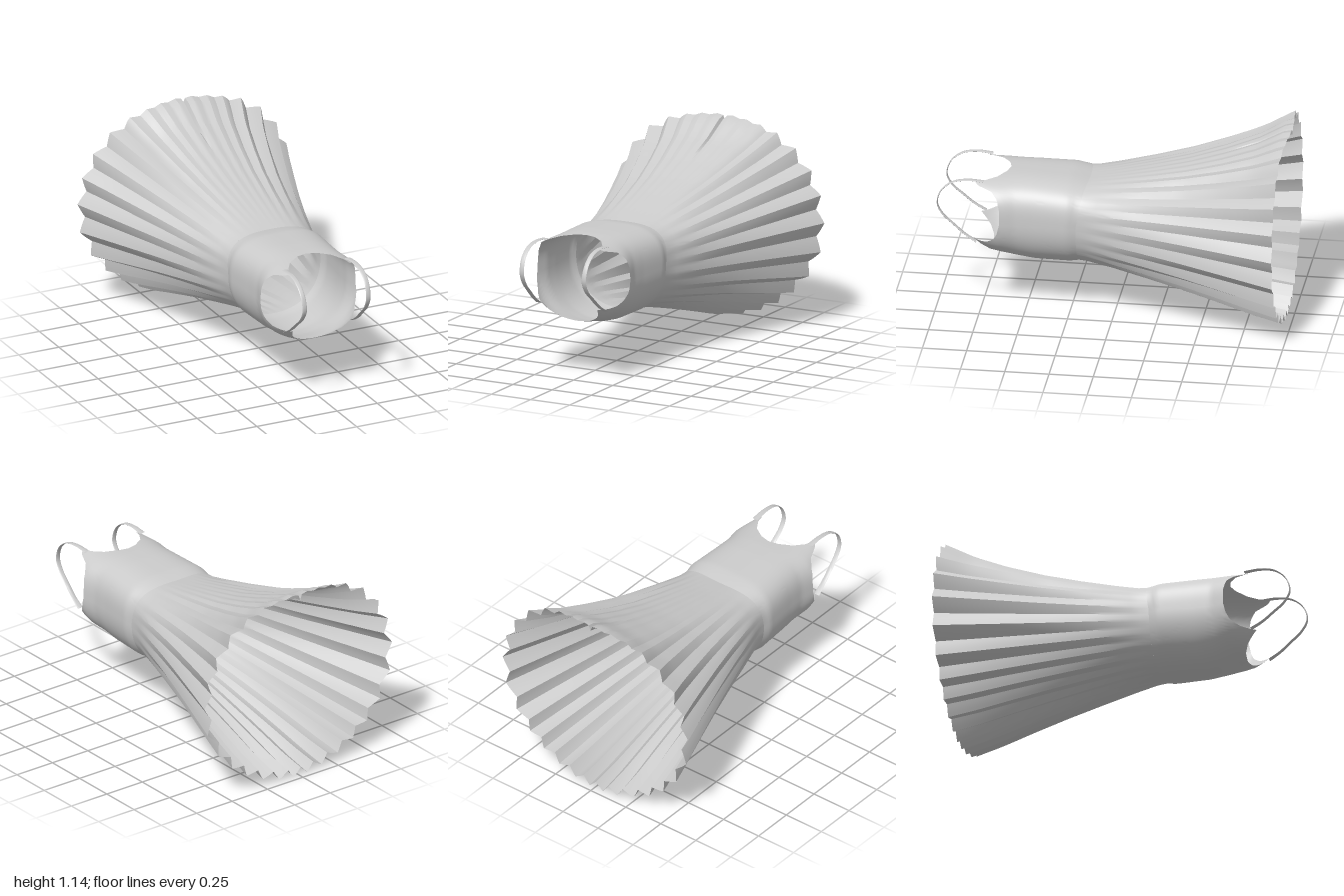
import * as THREE from 'three';
import { toCreasedNormals } from 'three/addons/utils/BufferGeometryUtils.js';

const CENTRE_Y = 0.58;
const PLEATS = 30;

// Piecewise-linear lookup in rows [key, value, value...], keys ascending
function lookup(rows, k) {
  if (k <= rows[0][0]) return rows[0].slice(1);
  for (let i = 1; i < rows.length; i++) {
    const a = rows[i - 1], b = rows[i];
    if (k <= b[0]) {
      const t = (k - a[0]) / (b[0] - a[0]);
      return a.slice(1).map((v, j) => v + (b[j + 1] - v) * t);
    }
  }
  return rows[rows.length - 1].slice(1);
}

// Garment sections along z: half width, top y, bottom y, squareness of upper and lower half
const SECTIONS = [
  [-0.96, 0.64, 1.145, 0.028, 2.25, 1.92],
  [-0.8, 0.586, 1.055, 0.06, 2.25, 1.93],
  [-0.6, 0.52, 0.975, 0.115, 2.3, 1.95],
  [-0.4, 0.454, 0.91, 0.168, 2.35, 2],
  [-0.2, 0.392, 0.86, 0.218, 2.45, 2.1],
  [0, 0.335, 0.815, 0.265, 2.65, 2.2],
  [0.15, 0.292, 0.787, 0.29, 2.9, 2.2],
  [0.2, 0.287, 0.797, 0.295, 3, 2.2],
  [0.25, 0.298, 0.805, 0.288, 3, 2.2],
  [0.45, 0.282, 0.812, 0.288, 3, 2.2],
  [0.55, 0.279, 0.812, 0.303, 3, 2.2],
  [0.64, 0.298, 0.808, 0.325, 3, 2.2],
  [0.7, 0.285, 0.806, 0.336, 3.3, 2.2],
  [0.75, 0.265, 0.806, 0.36, 3.8, 2.2],
  [0.8, 0.245, 0.806, 0.4, 4, 2.2],
];

// Neckline and armhole edge: angle in degrees (-90 chest, 90 back) and z
const RIM = [
  [-90, 0.70], [-70, 0.71], [-55, 0.735], [-46, 0.765], [-38, 0.795], [-34, 0.76],
  [-28, 0.71], [-20, 0.665], [-12, 0.645], [0, 0.63], [15, 0.63], [27, 0.645],
  [36, 0.68], [43, 0.76], [48, 0.78], [52, 0.72], [60, 0.66], [75, 0.615], [90, 0.60],
];

// Radius of the rounded section at angle a and depth z
function radius(a, z) {
  const [w, top, bottom, nTop, nBottom] = lookup(SECTIONS, z);
  const s = Math.sin(a), up = s >= 0;
  const h = up ? top - CENTRE_Y : CENTRE_Y - bottom;
  const n = up ? nTop : nBottom;
  return (Math.abs(Math.cos(a) / w) ** n + Math.abs(s / h) ** n) ** (-1 / n);
}

// Waist seam, dipping towards the hem at the back
const seamZ = (a) => 0.2 - 0.05 * Math.max(0, Math.sin(a));

// Grid surface from a rule (u, v) -> point
function surface(name, nu, nv, rule, crease) {
  const geo = new THREE.PlaneGeometry(1, 1, nu, nv);
  const pos = geo.attributes.position, uv = geo.attributes.uv;
  for (let i = 0; i < pos.count; i++) {
    pos.setXYZ(i, ...rule(uv.getX(i), uv.getY(i)));
  }
  const mesh = new THREE.Mesh(
    toCreasedNormals(geo, crease),
    new THREE.MeshStandardMaterial({ color: 0xcccccc, side: THREE.DoubleSide })
  );
  mesh.name = name;
  return mesh;
}

const onSection = (a, r, z) => [Math.cos(a) * r, CENTRE_Y + Math.sin(a) * r, z];

function bodicePoint(u, v) {
  const a = (u % 1) * Math.PI * 2 - Math.PI / 2;
  // Fold both sides onto one half, so the edge is mirrored
  const deg = THREE.MathUtils.radToDeg(Math.asin(Math.sin(a)));
  const z = THREE.MathUtils.lerp(seamZ(a), lookup(RIM, deg)[0], v);
  return onSection(a, radius(a, z), z);
}

function skirtPoint(u, v) {
  u %= 1;
  const base = u * Math.PI * 2 - Math.PI / 2;
  // Pleats are wider at the sides and slightly uneven
  const a = base - 0.02 + 0.05 * Math.cos(base) + 0.1 * Math.sin(2 * base)
    + 0.012 * Math.sin(7 * (base - Math.PI / 2));
  const s = Math.sin(a);
  const hem = -0.957 - 0.032 * Math.max(0, s) ** 12 - 0.008 * Math.max(0, -s) ** 4;
  const z = THREE.MathUtils.lerp(hem, seamZ(a), v);
  const flare = 1 - v;
  // Sharp pleats, deepest at the hem and almost flat at the centre back
  const phase = (u * PLEATS) % 1;
  const wave = 1 - 4 * Math.abs(phase - 0.5);
  const depth = 0.024 * flare ** 1.15 * (1 - 0.8 * THREE.MathUtils.smoothstep(s, 0.75, 0.97));
  let r = radius(a, z) + wave * depth;
  // Narrow fold at the centre back
  if (Math.abs(u - 0.5) < 0.001) r -= 0.03 * THREE.MathUtils.smoothstep(flare, 0.65, 0.95);
  return onSection(a, r, z);
}

// Flat shoulder strap looping from the back edge to the chest edge
function strap(side) {
  const path = new THREE.CatmullRomCurve3([
    [0.195, 0.796, 0.73], [0.198, 0.802, 0.82], [0.2, 0.785, 0.905], [0.2, 0.73, 0.97],
    [0.198, 0.65, 0.992], [0.199, 0.585, 0.96], [0.203, 0.53, 0.9], [0.207, 0.475, 0.835],
    [0.212, 0.435, 0.77],
  ].map(([x, y, z]) => new THREE.Vector3(x * side, y, z)));
  return surface(side > 0 ? 'leftStrap' : 'rightStrap', 12, 48, (u, v) => {
    const p = path.getPoint(v), t = path.getTangent(v);
    const a = (u % 1) * Math.PI * 2;
    const across = Math.cos(a) * (0.014 + 0.004 * Math.abs(2 * v - 1) ** 4);
    const thick = Math.sin(a) * 0.003;
    return [p.x + across, p.y - t.z * thick, p.z + t.y * thick];
  }, 1);
}

export function createModel() {
  const model = new THREE.Group();
  model.name = 'dress';
  model.add(
    surface('bodice', 180, 24, bodicePoint, 1),
    surface('pleatedSkirt', PLEATS * 8, 24, skirtPoint, 0.35),
    strap(1),
    strap(-1)
  );
  return model;
}
